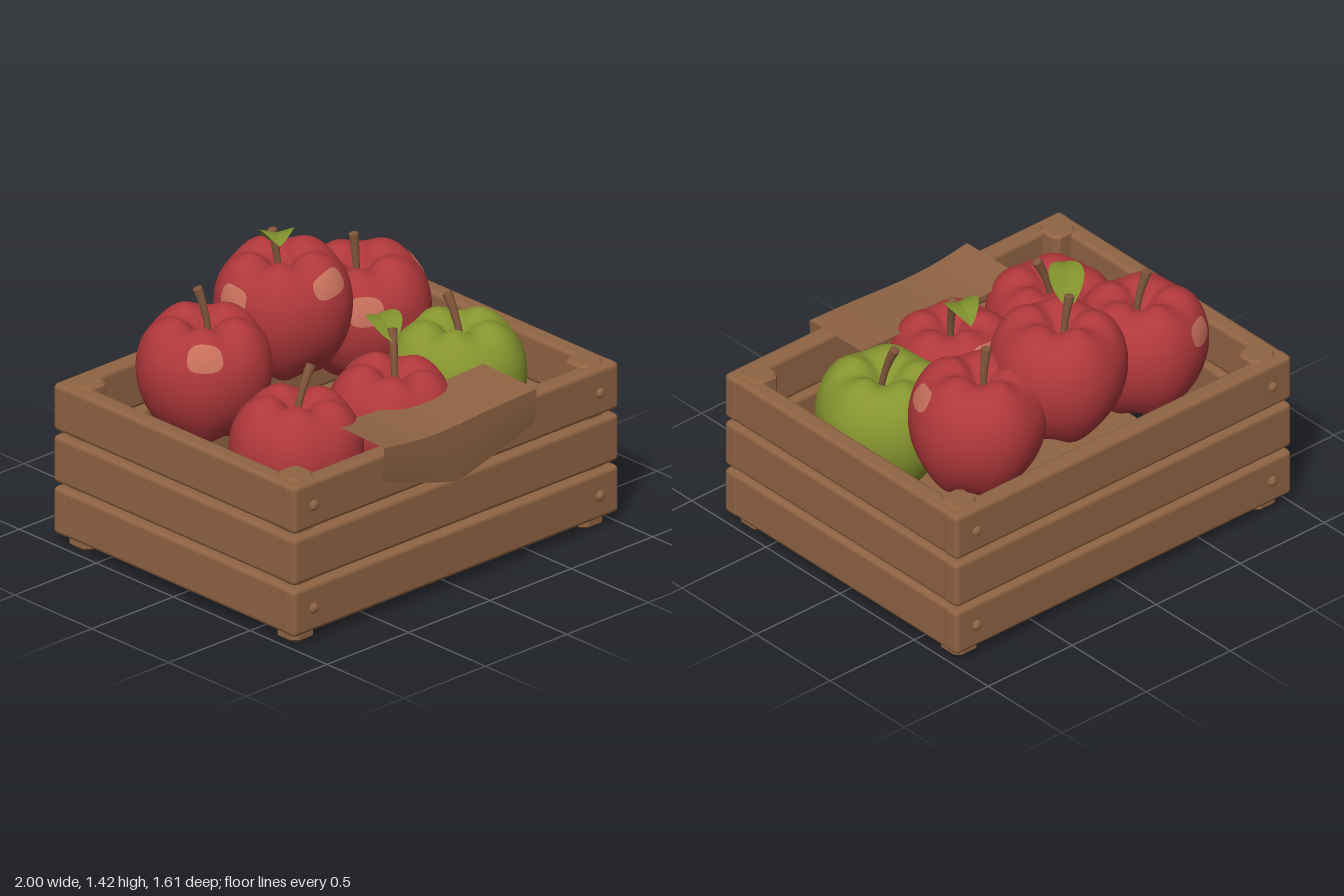
import * as THREE from 'three';
import { RoundedBoxGeometry } from 'three/addons/geometries/RoundedBoxGeometry.js';
import { ParametricGeometry } from 'three/addons/geometries/ParametricGeometry.js';
import { toCreasedNormals } from 'three/addons/utils/BufferGeometryUtils.js';

const V = (x, y, z) => new THREE.Vector3(x, y, z);
const mat = (name, color, side = THREE.FrontSide) => {
  const m = new THREE.MeshStandardMaterial({ color, side });
  m.name = name;
  return m;
};

// half section of an apple, from the stem hollow to the underside
const profile = new THREE.SplineCurve([
  [0, 0.2], [0.03, 0.215], [0.09, 0.275], [0.16, 0.29], [0.24, 0.25], [0.295, 0.16],
  [0.312, 0.05], [0.295, -0.06], [0.25, -0.16], [0.18, -0.245], [0.09, -0.275], [0, -0.235],
].map(([x, y]) => new THREE.Vector2(x, y)));

// point on the lobed apple skin
function skin(angle, t, target, lift = 0) {
  const p = profile.getPoint(t);
  const lobe = Math.cos(5 * angle + 0.6);
  const r = p.x * (1 + 0.012 * lobe) * (1 + lift);
  const y = p.y * (1 + 0.05 * lobe * Math.min(1, p.x / 0.12) * Math.abs(p.y) / 0.29);
  target.set(r * Math.cos(angle), y * (1 + lift), r * Math.sin(angle));
}

export function createModel() {
  const wood = mat('wood', 0x8f6343);
  const cloth = mat('cloth', 0x8f6343, THREE.DoubleSide);
  const red = mat('red skin', 0xb0383b);
  const green = mat('green skin', 0x87952f);
  const shine = mat('skin highlight', 0xc8705c);
  const stemMat = mat('stem', 0x80563a);
  const leafMat = mat('leaf', 0x7f902d, THREE.DoubleSide);

  const model = new THREE.Group();
  model.name = 'appleCrate';
  const add = (parent, name, geo, material, pos = V(0, 0, 0)) => {
    const m = new THREE.Mesh(geo, material);
    m.name = name;
    m.position.copy(pos);
    parent.add(m);
    return m;
  };

  // crate: slats, floor, posts and rivets
  const crate = new THREE.Group();
  crate.name = 'crate';
  model.add(crate);
  const longSlat = new RoundedBoxGeometry(2, 0.232, 0.092, 2, 0.024);
  const shortSlat = new RoundedBoxGeometry(0.092, 0.232, 1.56, 2, 0.024);
  for (const y of [0.168, 0.42, 0.674]) {
    for (const s of [-1, 1]) {
      add(crate, 'longSlat', longSlat, wood, V(0, y, s * 0.74));
      add(crate, 'shortSlat', shortSlat, wood, V(s * 0.951, y, 0));
    }
  }
  add(crate, 'floor', new THREE.BoxGeometry(1.77, 0.035, 1.36), wood, V(0, 0.03, 0));

  const h = 0.07, c = 0.028;
  const octagon = new THREE.Shape([
    [h, -h + c], [h, h - c], [h - c, h], [-h + c, h], [-h, h - c], [-h, -h + c], [-h + c, -h], [h - c, -h],
  ].map(([x, y]) => new THREE.Vector2(x, y)));
  const post = new THREE.ExtrudeGeometry(octagon, {
    depth: 0.776, bevelEnabled: true, bevelThickness: 0.012, bevelSize: 0.012, bevelOffset: -0.012, bevelSegments: 1,
  }).rotateX(-Math.PI / 2).translate(0, 0.012, 0);
  const rivet = new THREE.SphereGeometry(0.026, 14, 8).scale(1, 1, 0.75);
  for (const sx of [-1, 1]) {
    for (const sz of [-1, 1]) {
      add(crate, 'cornerPost', post, wood, V(sx * 0.888, 0, sz * 0.675));
      for (const y of [0.168, 0.672]) add(crate, 'rivet', rivet, wood, V(sx * 0.88, y, sz * 0.786));
    }
  }

  // apples: centre, radius scale, tilt (x, z), stem base and tip, highlights as [angle, t, width, height]
  const deg = Math.PI / 180;
  const apples = [
    { at: [-0.495, 0.82, -0.33], s: 0.98, tilt: [0, 0.03], stem: [[-0.47, 1.01, -0.33], [-0.51, 1.24, -0.36]],
      spots: [[132, 0.41, 0.3, 0.055], [242, 0.45, 0.27, 0.05]] },
    { at: [0.045, 0.95, -0.385], s: 1, tilt: [0, 0.06], stem: [[0.025, 1.13, -0.4], [-0.005, 1.355, -0.41]],
      spots: [[82, 0.41, 0.34, 0.05], [183, 0.45, 0.27, 0.05]] },
    { at: [0.475, 0.82, -0.325], s: 1.0, tilt: [0, 0.12], stem: [[0.44, 1.0, -0.33], [0.425, 1.225, -0.335]],
      spots: [[22, 0.43, 0.28, 0.05], [128, 0.45, 0.28, 0.055]] },
    { at: [-0.5, 0.62, 0.27], s: 0.97, tilt: [0, -0.06], stem: [[-0.48, 0.81, 0.255], [-0.4, 1.035, 0.26]], spots: [] },
    { at: [0.052, 0.62, 0.3], s: 0.94, tilt: [0.04, -0.05], stem: [[0.07, 0.8, 0.31], [0.11, 1.05, 0.25]],
      spots: [[268, 0.4, 0.38, 0.05]] },
    { at: [0.57, 0.63, 0.19], s: 1, tilt: [-0.04, 0], skin: green, stem: [[0.58, 0.81, 0.2], [0.56, 1.045, 0.13]], spots: [] },
  ];
  const body = new ParametricGeometry((u, v, p) => skin(u * 2 * Math.PI, 0.002 + 0.996 * v, p), 50, 44);

  for (const a of apples) {
    const apple = new THREE.Group();
    apple.name = a.skin ? 'greenApple' : 'redApple';
    apple.position.set(...a.at);
    apple.rotation.set(a.tilt[0], 0, a.tilt[1]);
    apple.scale.setScalar(a.s);
    model.add(apple);
    add(apple, 'appleBody', body, a.skin ?? red);

    // rounded highlight patches lying on the skin
    for (const [angle, t, w, ht] of a.spots) {
      add(apple, 'highlight', new ParametricGeometry((u, v, p) => {
        const k = 0.002 + 0.998 * u, b = v * 2 * Math.PI;
        const round = (n) => Math.sign(n) * Math.abs(n) ** 0.7;
        skin(angle * deg + w * k * round(Math.cos(b)), t + ht * k * round(Math.sin(b)), p, 0.01);
      }, 6, 28), shine);
    }

    // bent stem that widens to its tip
    const [base, tip] = a.stem.map((p) => V(...p));
    const bend = V(base.x * 0.75 + tip.x * 0.25, (base.y + tip.y) / 2 + 0.01, base.z * 0.75 + tip.z * 0.25);
    const curve = new THREE.QuadraticBezierCurve3(base, bend, tip);
    const rings = 10, sides = 10;
    const tube = new THREE.TubeGeometry(curve, rings, 0.018, sides);
    const pos = tube.attributes.position, q = V(0, 0, 0);
    for (let i = 0; i < pos.count; i++) {
      const t = Math.floor(i / (sides + 1)) / rings;
      const mid = curve.getPointAt(t);
      q.fromBufferAttribute(pos, i).sub(mid).multiplyScalar(0.85 + 0.45 * t * t).add(mid);
      pos.setXYZ(i, q.x, q.y, q.z);
    }
    add(model, 'stem', tube, stemMat);
    const cap = add(model, 'stemTip', new THREE.SphereGeometry(0.0234, 10, 6).scale(1, 0.3, 1), stemMat, tip);
    cap.quaternion.setFromUnitVectors(V(0, 1, 0), curve.getTangent(1));
  }

  // arched leaves folded along the midrib
  const leaf = (base, tip, arch, width) => {
    const along = tip.clone().sub(base);
    const side = V(along.z, 0, -along.x).normalize();
    const geo = new ParametricGeometry((u, v, p) => {
      const across = (u - 0.5) * 2;
      const w = width * Math.sin(Math.PI * v ** 0.85) ** 0.75;
      p.copy(base).addScaledVector(along, v).addScaledVector(side, across * w);
      p.y += arch * 4 * v * (1 - v) + 0.25 * w * Math.abs(across) - 0.01;
    }, 6, 14);
    add(model, 'leaf', toCreasedNormals(geo, 0.4), leafMat);
  };
  leaf(V(0, 1.3, -0.41), V(-0.145, 1.39, -0.21), 0.06, 0.08);
  leaf(V(0.085, 1.01, 0.285), V(0.16, 1.04, 0.065), 0.06, 0.08);

  // cloth laid over the front rim, with a pointed flap hanging outside
  const half = 0.468;
  const rimY = (x) => 0.805 + 0.025 * (x / half) ** 2 + 0.008 * Math.sin(x * 7);
  add(model, 'clothTop', new ParametricGeometry((u, v, p) => {
    const x = (u - 0.5) * 2 * half;
    p.set(x, rimY(x) + 0.008 * (1 - v), 0.46 + 0.348 * v);
  }, 20, 6), cloth);
  add(model, 'clothFlap', new ParametricGeometry((u, v, p) => {
    const x = (u - 0.5) * 2 * half;
    const bottom = 0.52 + 0.14 * Math.min(1, Math.abs(x) / half) ** 1.15;
    p.set(x, THREE.MathUtils.lerp(rimY(x), bottom, v), 0.808 - 0.014 * v * v);
  }, 24, 6), cloth);

  return model;
}
